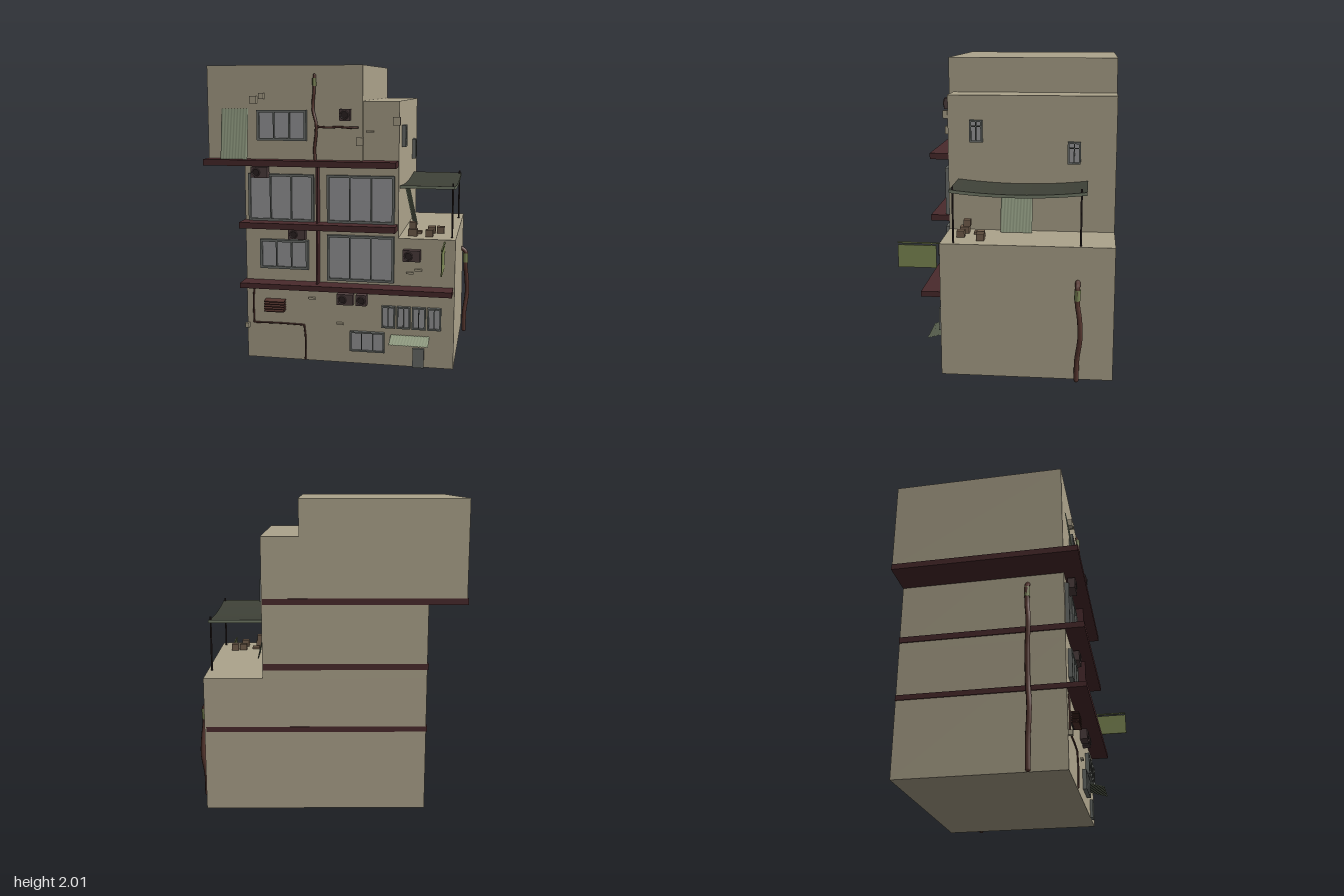
import * as THREE from 'three';

const mat = (color, extra = {}) => new THREE.MeshStandardMaterial({ color, ...extra });
const M = {
  wall: mat(0xada48c), slab: mat(0x4a2a2c), frame: mat(0x6c706c), glass: mat(0x9c9c9e),
  ac: mat(0x4f3f3f), dark: mat(0x2c2222), pipe: mat(0x56362f), sleeve: mat(0x7c8656),
  sign: mat(0x7f8a55), carton: mat(0x75614e),
  sheet: mat(0x8f9a80, { side: THREE.DoubleSide }),
  canopyTop: mat(0x3f4238), canopy: mat(0x747c69),
};

// Box given by its limits on each axis
function box(parent, name, m, x0, x1, y0, y1, z0, z1) {
  const mesh = new THREE.Mesh(new THREE.BoxGeometry(x1 - x0, y1 - y0, z1 - z0), m);
  mesh.position.set((x0 + x1) / 2, (y0 + y1) / 2, (z0 + z1) / 2);
  mesh.name = name;
  parent.add(mesh);
  return mesh;
}

function group(parent, name) {
  const g = new THREE.Group();
  g.name = name;
  parent.add(g);
  return g;
}

function cylinder(parent, name, m, r, h, x, y, z, sides = 10) {
  const mesh = new THREE.Mesh(new THREE.CylinderGeometry(r, r, h, sides), m);
  mesh.position.set(x, y, z);
  mesh.name = name;
  parent.add(mesh);
  return mesh;
}

// Framed window in the XY plane, back at z = 0, with recessed panes
function makeWindow(parent, w, h, panes, border, transom = 0) {
  const g = group(parent, 'window');
  const s = new THREE.Shape();
  s.moveTo(0, 0).lineTo(w, 0).lineTo(w, h).lineTo(0, h).closePath();
  const gap = border * 0.55, pw = (w - 2 * border - gap * (panes - 1)) / panes;
  const rows = transom ? [[border, h * transom], [h * transom + gap, h - border]] : [[border, h - border]];
  for (let i = 0; i < panes; i++) for (const [a, b] of rows) {
    const x = border + i * (pw + gap), hole = new THREE.Path();
    hole.moveTo(x, a).lineTo(x, b).lineTo(x + pw, b).lineTo(x + pw, a).closePath();
    s.holes.push(hole);
  }
  const frame = new THREE.Mesh(new THREE.ExtrudeGeometry(s, { depth: 0.027, bevelEnabled: false }), M.frame);
  frame.name = 'windowFrame';
  g.add(frame);
  box(g, 'windowGlass', M.glass, border / 2, w - border / 2, border / 2, h - border / 2, 0, 0.014);
  return g;
}

// Wall-mounted cooling unit with a round fan
function makeCooler(parent, x0, x1, y0, y1, z) {
  const g = group(parent, 'coolingUnit');
  box(g, 'coolerCase', M.ac, x0, x1, y0, y1, z, z + 0.05);
  const r = (y1 - y0) * 0.34, x = x1 - x0 > 0.09 ? x0 + 0.038 : (x0 + x1) / 2;
  const fan = cylinder(g, 'coolerFan', M.dark, r, 0.006, x, (y0 + y1) / 2, z + 0.052, 16);
  fan.rotation.x = Math.PI / 2;
  const ring = new THREE.Mesh(new THREE.TorusGeometry(r, 0.004, 5, 16), M.ac);
  ring.position.set(x, (y0 + y1) / 2, z + 0.054);
  ring.name = 'fanRing';
  g.add(ring);
}

function makePipe(parent, name, points, r, m = M.pipe) {
  const curve = new THREE.CatmullRomCurve3(points.map(p => new THREE.Vector3(...p)));
  const mesh = new THREE.Mesh(new THREE.TubeGeometry(curve, 40, r, 8), m);
  mesh.name = name;
  parent.add(mesh);
  for (const p of [points[0], points[points.length - 1]]) {
    const cap = new THREE.Mesh(new THREE.SphereGeometry(r, 8, 6), m);
    cap.position.set(...p);
    cap.name = 'pipeEnd';
    parent.add(cap);
  }
}

// Corrugated sheet, base edge centred on the origin
function makeSheet(parent, name, w, h, ribs) {
  const geo = new THREE.PlaneGeometry(w, h, ribs * 2, 1);
  geo.translate(0, h / 2, 0);
  const p = geo.attributes.position;
  for (let i = 0; i < p.count; i++) p.setZ(i, (i % (ribs * 2 + 1)) % 2 ? 0.006 : 0);
  geo.computeVertexNormals();
  const mesh = new THREE.Mesh(geo, M.sheet);
  mesh.name = name;
  parent.add(mesh);
  return mesh;
}

export function createModel() {
  const model = new THREE.Group();
  model.name = 'building';
  const F = 0.41, FT = 0.44; // front wall planes, lower and top

  // Stacked volumes
  box(model, 'groundBlock', M.wall, -0.62, 0.8, 0, 0.875, -0.69, F);
  box(model, 'middleBlock', M.wall, -0.62, 0.425, 0.875, 1.77, -0.69, F);
  box(model, 'topBlock', M.wall, -0.86, 0.19, 1.37, 2, -0.69, FT);

  // Floor slabs and the front fin
  box(model, 'lowerSlab', M.slab, -0.628, 0.79, 0.52, 0.555, -0.691, 0.535);
  box(model, 'middleSlab', M.slab, -0.628, 0.42, 0.928, 0.968, -0.691, 0.535);
  box(model, 'upperSlab', M.slab, -0.868, 0.42, 1.345, 1.385, -0.691, 0.535);
  box(model, 'frontFin', M.slab, -0.115, -0.103, 0.555, 1.345, F, 0.478);

  // Front windows: x, y, width, height, panes, wall plane
  const windows = [
    [-0.515, 1.51, 0.335, 0.2, 3, FT], [-0.59, 0.968, 0.45, 0.317, 3, F],
    [-0.05, 0.968, 0.45, 0.317, 3, F], [-0.515, 0.64, 0.335, 0.2, 3, F],
    [-0.05, 0.575, 0.45, 0.31, 3, F], [0.105, 0.09, 0.235, 0.138, 3, F],
  ];
  for (let i = 0; i < 4; i++) windows.push([0.32 + i * 0.102, 0.265, 0.09, 0.15, 2, F]);
  for (const [x, y, w, h, n, z] of windows)
    makeWindow(model, w, h, n, w > 0.3 ? 0.016 : 0.01).position.set(x, y, z);

  // Side windows with a transom
  for (const [z, y] of [[0.265, 1.465], [-0.375, 1.33]]) {
    const w = makeWindow(model, 0.085, 0.145, 2, 0.012, 0.7);
    w.rotation.y = Math.PI / 2;
    w.position.set(0.425, y, z);
  }

  // Cooling units
  for (const a of [[-0.56, -0.445, 1.262, 1.335, F + 0.015], [-0.31, -0.195, 0.85, 0.92, F], [0.46, 0.575, 0.73, 0.805, F],
    [0.02, 0.13, 0.415, 0.488, F], [0.15, 0.22, 0.415, 0.488, F], [0.045, 0.115, 1.645, 1.72, FT]])
    makeCooler(model, ...a);

  // Small wall boxes: centre x, y, size, wall plane
  for (const [x, y, w, z] of [[-0.54, 1.775, 0.045, FT], [-0.483, 1.8, 0.035, FT], [0.175, 1.51, 0.048, FT],
    [0.41, 1.642, 0.048, F], [-0.615, 0.23, 0.028, F]])
    box(model, 'wallBox', M.wall, x - w / 2, x + w / 2, y - w * 0.55, y + w * 0.55, z, z + 0.03);
  for (const [x, y] of [[0.235, 1.575], [0.505, 0.648], [0.56, 0.67], [-0.16, 0.443], [0.035, 0.277]])
    box(model, 'wallBracket', M.wall, x - 0.024, x + 0.024, y - 0.008, y + 0.004, F, F + 0.018);

  // Louvred vent
  const vent = group(model, 'vent');
  box(vent, 'ventBack', M.dark, -0.48, -0.35, 0.345, 0.42, F, F + 0.01);
  for (let i = 0; i < 5; i++) {
    const slat = box(vent, 'ventSlat', M.pipe, -0.485, -0.345, 0.345 + i * 0.017, 0.352 + i * 0.017, F, F + 0.055);
    slat.rotation.x = 0.12;
  }

  // Door with sloped awning
  box(model, 'door', M.frame, 0.53, 0.605, 0, 0.132, F, F + 0.02);
  const awning = makeSheet(model, 'awning', 0.26, 0.125, 13);
  awning.position.set(0.51, 0.178, 0.53);
  awning.rotation.x = -1.3;

  // Leaning corrugated sheets
  const front = makeSheet(model, 'leaningSheet', 0.185, 0.335, 9);
  front.position.set(-0.67, 1.385, 0.485);
  front.rotation.x = -0.12;
  const side = makeSheet(model, 'terraceSheet', 0.21, 0.29, 10);
  side.rotation.set(0, Math.PI / 2, 0.22);
  side.rotation.order = 'ZYX';
  side.position.set(0.492, 0.877, -0.045);

  // Pipes with sleeves
  makePipe(model, 'leftPipe', [[-0.645, 0.01, 0.17], [-0.645, 0.2, 0.17], [-0.652, 0.4, 0.18], [-0.638, 0.58, 0.17],
    [-0.652, 0.8, 0.17], [-0.67, 1, 0.18], [-0.65, 1.12, 0.17], [-0.652, 1.25, 0.17], [-0.62, 1.28, 0.17]], 0.017);
  cylinder(model, 'leftPipeSleeve', M.sleeve, 0.02, 0.07, -0.651, 1.205, 0.17);
  makePipe(model, 'rightPipe', [[0.83, 0.01, -0.46], [0.83, 0.14, -0.462], [0.848, 0.3, -0.48], [0.842, 0.42, -0.475],
    [0.832, 0.52, -0.46], [0.832, 0.62, -0.46], [0.8, 0.648, -0.46]], 0.016);
  cylinder(model, 'rightPipeSleeve', M.sleeve, 0.02, 0.07, 0.832, 0.575, -0.46);
  makePipe(model, 'roofPipe', [[-0.125, 1.935, 0.45], [-0.125, 1.84, 0.462], [-0.135, 1.72, 0.458], [-0.11, 1.62, 0.475],
    [-0.115, 1.54, 0.465], [-0.125, 1.46, 0.458], [-0.122, 1.385, 0.458]], 0.01);
  cylinder(model, 'roofPipeSleeve', M.sleeve, 0.013, 0.05, -0.125, 1.89, 0.457);
  makePipe(model, 'branchPipe', [[-0.11, 1.605, 0.47], [-0.03, 1.6, 0.475], [0.04, 1.604, 0.47], [0.1, 1.6, 0.475], [0.16, 1.602, 0.455]], 0.007);
  makePipe(model, 'wallConduitTop', [[-0.565, 0.5, 0.415], [-0.572, 0.42, 0.418], [-0.57, 0.25, 0.416]], 0.006);
  makePipe(model, 'wallConduitMiddle', [[-0.57, 0.25, 0.416], [-0.39, 0.253, 0.417], [-0.215, 0.25, 0.416]], 0.006);
  makePipe(model, 'wallConduitBottom', [[-0.215, 0.25, 0.416], [-0.205, 0.15, 0.418], [-0.208, 0.01, 0.416]], 0.006);

  // Sagging terrace canopy on two posts, dark on top
  const canopy = new THREE.BoxGeometry(0.36, 0.02, 0.855, 1, 1, 16);
  const p = canopy.attributes.position;
  for (let i = 0; i < p.count; i++)
    p.setY(i, p.getY(i) - 0.025 * (1 - (p.getZ(i) / 0.4275) ** 2));
  canopy.computeVertexNormals();
  const mats = [M.canopy, M.canopy, M.canopyTop, M.canopy, M.canopy, M.canopy];
  const roof = new THREE.Mesh(canopy, mats);
  roof.position.set(0.605, 1.208, -0.0825);
  roof.name = 'canopy';
  model.add(roof);
  for (const z of [0.325, -0.475]) cylinder(model, 'canopyPost', M.dark, 0.006, 0.36, 0.772, 1.055, z, 8);

  // Cartons on the terrace
  for (const [x, y, z, w, h] of [[0.51, 0.875, 0.29, 0.06, 0.045], [0.508, 0.92, 0.275, 0.045, 0.045], [0.62, 0.875, 0.3, 0.05, 0.045],
    [0.625, 0.875, 0.17, 0.05, 0.045], [0.685, 0.875, 0.165, 0.05, 0.045], [0.535, 0.875, 0.2, 0.05, 0.018]])
    box(model, 'carton', M.carton, x - w / 2, x + w / 2, y, y + h, z - w / 2, z + w / 2);

  // Hanging blank panel on its rod
  box(model, 'hangingPanel', M.sign, 0.727, 0.733, 0.695, 0.843, 0.442, 0.69);
  box(model, 'panelRod', M.sleeve, 0.726, 0.734, 0.853, 0.862, F, 0.69);
  for (const z of [0.47, 0.66]) box(model, 'panelHanger', M.sleeve, 0.728, 0.732, 0.843, 0.853, z, z + 0.004);
  return model;
}
